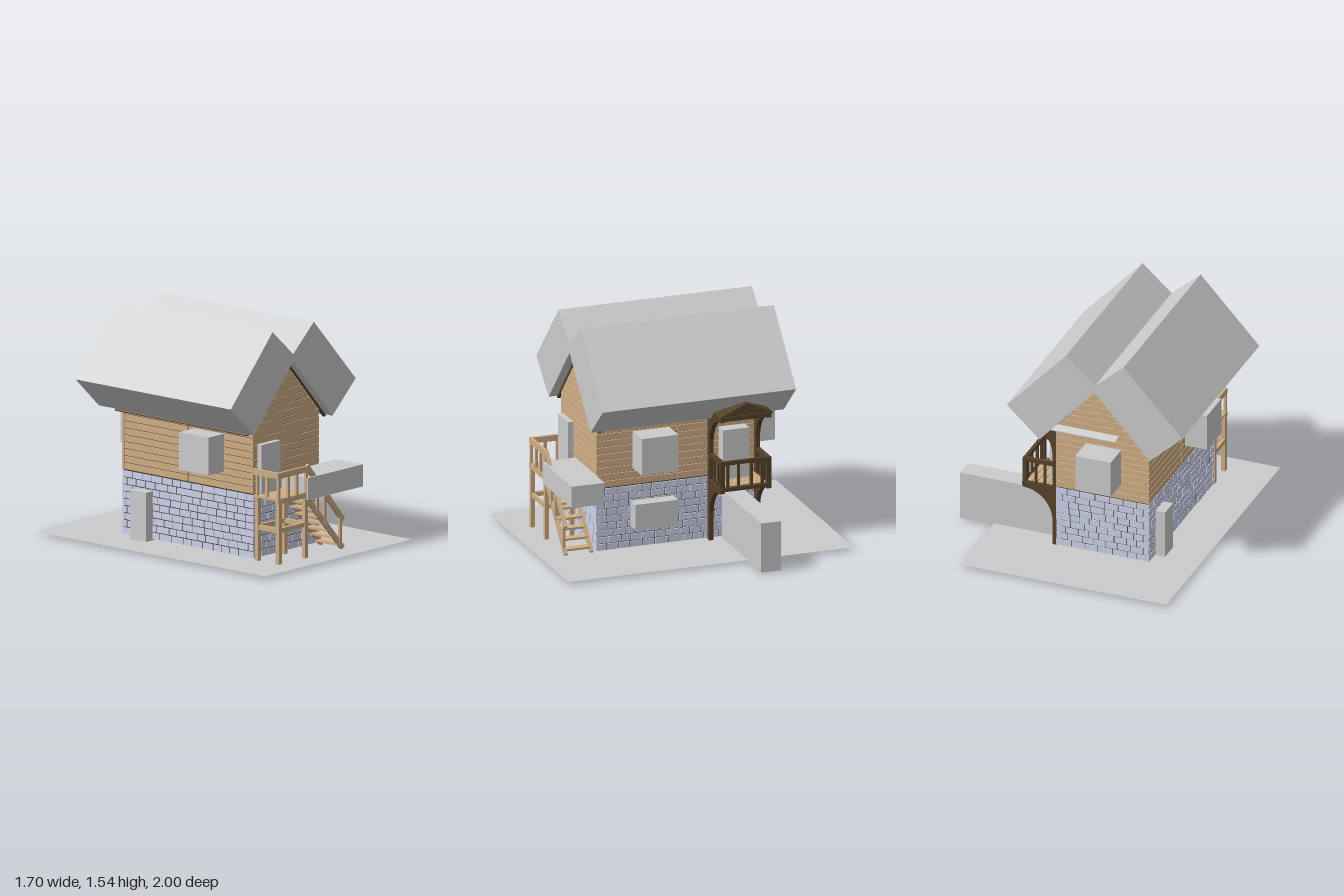
import * as THREE from 'three';
import { mergeGeometries } from 'three/addons/utils/BufferGeometryUtils.js';

const mat = (color) => new THREE.MeshStandardMaterial({ color, flatShading: true });
const grey = mat(0xcccccc), plank = mat(0xcfae86), stone = mat(0xcdd2ea);
const darkWood = mat(0x55422a), gapDark = mat(0x4a4238);

// House limits
const X0 = -0.535, X1 = 0.12, Z0 = -0.525, Z1 = 0.62, MID = -0.21;
const STONE_TOP = 0.46, APEX = 1.3, SLOPE = 0.885;
const halfWidth = (y) => Math.max(0.004, Math.min((X1 - X0) / 2, (APEX - y) * SLOPE));

let seed = 7;
const rand = () => (seed = (seed * 16807) % 2147483647) / 2147483647;

// Box geometry from its limits
function block(x0, x1, y0, y1, z0, z1) {
  return new THREE.BoxGeometry(x1 - x0, y1 - y0, z1 - z0)
    .translate((x0 + x1) / 2, (y0 + y1) / 2, (z0 + z1) / 2);
}

// Sloping beam between two points in the x-y plane
function beam(ax, ay, bx, by, thick, z0, z1) {
  return new THREE.BoxGeometry(Math.hypot(bx - ax, by - ay), thick, z1 - z0)
    .rotateZ(Math.atan2(by - ay, bx - ax))
    .translate((ax + bx) / 2, (ay + by) / 2, (z0 + z1) / 2);
}

// Outline in x-y pushed out from z0 to z1
function slab(points, z0, z1) {
  const shape = new THREE.Shape(points.map(([x, y]) => new THREE.Vector2(x, y)));
  return new THREE.ExtrudeGeometry(shape, { depth: z1 - z0, bevelEnabled: false }).translate(0, 0, z0);
}

// Outline in z-y pushed out from x0 to x1
const slabX = (points, x0, x1) => slab(points, -x1, -x0).rotateY(-Math.PI / 2);

function add(group, name, material, geometries) {
  const list = geometries.map((g) => (g.index ? g.toNonIndexed() : g));
  const mesh = new THREE.Mesh(mergeGeometries(list), material);
  mesh.name = name;
  group.add(mesh);
}

// Rows of staggered stones round the ground floor
function stoneWalls() {
  const parts = [], rows = 9, h = (STONE_TOP - 0.03) / rows, t = 0.03, gap = 0.006;
  const run = (from, to, make) => {
    for (let r = 0; r < rows; r++) {
      const y0 = 0.03 + r * h;
      let a = from, w = r % 2 ? 0.045 : 0.09;
      while (a < to - 0.001) {
        let b = Math.min(to, a + w);
        if (to - b < 0.03) b = to;
        parts.push(make(a, b - (b < to ? gap : 0), y0, y0 + h - gap, rand() * 0.004));
        a = b;
        w = 0.065 + rand() * 0.045;
      }
    }
  };
  run(X0, X1, (a, b, y0, y1, d) => block(a, b, y0, y1, Z1 - t, Z1 - d));
  run(X0, X1, (a, b, y0, y1, d) => block(a, b, y0, y1, Z0 + d, Z0 + t));
  run(Z0, Z1, (a, b, y0, y1, d) => block(X1 - t, X1 - d, y0, y1, a, b));
  run(Z0, Z1, (a, b, y0, y1, d) => block(X0 + d, X0 + t, y0, y1, a, b));
  return parts;
}

// Horizontal boards on the upper floor and both gables
function boardWalls() {
  const parts = [], h = 0.0467, gap = 0.005, seam = 0.05;
  for (let y = STONE_TOP + 0.004; y < APEX - 0.01; y += h) {
    const top = Math.min(y + h - gap, APEX - 0.003);
    const a = halfWidth(y), b = halfWidth(top);
    const outline = [[MID - a, y], [MID + a, y], [MID + b, top], [MID - b, top]];
    parts.push(slab(outline, Z1 - 0.02, Z1), slab(outline, Z0, Z0 + 0.02));
    if (top < 0.93) {
      for (const x of [X0, X1 - 0.02]) {
        parts.push(block(x, x + 0.02, y, top, Z0, seam - 0.003));
        parts.push(block(x, x + 0.02, y, top, seam + 0.003, Z1));
      }
    }
  }
  return parts;
}

// Curved bracket filling the corner between a post and the beam above it
function bracket(y0, y1, z0, z1) {
  const points = [[0.145, y1 + 0.01], [0.145, y0]];
  for (let i = 0; i <= 12; i++) {
    const a = (i / 12) * Math.PI / 2;
    points.push([0.36 - 0.21 * Math.cos(a), y0 + (y1 - y0 - 0.012) * Math.sin(a)]);
  }
  points.push([0.36, y1 + 0.01]);
  return slab(points, z0, z1);
}

function buildBalcony() {
  const g = new THREE.Group();
  g.name = 'balcony';
  const frame = [], rails = [], floor = [];
  for (const [z0, z1] of [[-0.19, -0.16], [-0.515, -0.485]]) {
    frame.push(block(X1, 0.15, 0, 0.93, z0, z1));
    frame.push(bracket(0.2, 0.42, z0, z1), bracket(0.69, 0.91, z0, z1));
    frame.push(block(X1, 0.365, 0.905, 0.935, z0, z1), block(X1, 0.365, 0.42, 0.445, z0, z1));
    rails.push(block(X1, 0.36, 0.6, 0.625, z0, z1), block(0.335, 0.36, 0.42, 0.61, z0, z1));
    for (const x of [0.2, 0.265]) rails.push(block(x, x + 0.015, 0.43, 0.61, z0 + 0.008, z1 - 0.008));
  }
  frame.push(block(0.34, 0.365, 0.905, 0.935, -0.515, -0.16));
  frame.push(block(0.34, 0.365, 0.42, 0.445, -0.515, -0.16));
  rails.push(block(0.335, 0.36, 0.6, 0.625, -0.515, -0.16));
  for (const z of [-0.215, -0.29, -0.38, -0.455]) rails.push(block(0.34, 0.355, 0.44, 0.61, z - 0.009, z + 0.009));
  for (let i = 0; i < 6; i++) floor.push(block(X1 + i * 0.037, X1 + i * 0.037 + 0.033, 0.435, 0.45, -0.487, -0.188));
  add(g, 'balconyFrame', darkWood, frame);
  add(g, 'balconyRailing', darkWood, rails);
  add(g, 'balconyFloor', plank, floor);
  // Little gabled canopy
  const mid = -0.3375;
  const canopy = [slabX([[mid - 0.165, 0.935], [mid + 0.165, 0.935], [mid, 1.005]], 0.335, 0.355)];
  for (const s of [-1, 1]) {
    for (let i = 0; i < 4; i++) {
      const d0 = i * 0.047, d1 = d0 + 0.044, y = (d) => 1.02 - d * 0.44;
      const p = [[mid + s * d0, y(d0) - 0.014], [mid + s * d1, y(d1) - 0.014], [mid + s * d1, y(d1)], [mid + s * d0, y(d0)]];
      canopy.push(slabX(s > 0 ? p : p.reverse(), X1, 0.37));
    }
  }
  add(g, 'canopyRoof', darkWood, canopy);
  // Grey sheets carrying the canopy slope back into the roof
  add(g, 'canopySheets', grey, [-1, 1].map((s) =>
    slabX([[mid, 0.99], [mid + s * 0.235, 0.903], [mid + s * 0.235, 0.909], [mid, 0.996]], -0.32, 0.14)));
  return g;
}

function buildStairs() {
  const g = new THREE.Group();
  g.name = 'frontStairs';
  const posts = [], deck = [], rails = [], stairs = [];
  for (const z of [0.635, 0.815]) {
    for (const x of [-0.535, -0.275]) posts.push(block(x, x + 0.03, 0.01, 0.44, z, z + 0.028));
    posts.push(block(-0.51, -0.27, 0.23, 0.26, z + 0.004, z + 0.024));
    posts.push(block(-0.54, -0.25, 0.425, 0.447, z, z + 0.028));
    // Stringers
    stairs.push(beam(-0.26, 0.435, 0.11, 0.025, 0.035, z + 0.004, z + 0.024));
  }
  for (const x of [-0.533, -0.27]) posts.push(block(x, x + 0.024, 0.23, 0.26, 0.64, 0.84));
  for (let i = 0; i < 6; i++) deck.push(block(-0.54 + i * 0.0475, -0.497 + i * 0.0475, 0.445, 0.46, 0.62, 0.843));
  // Deck railing on the front and outer side
  rails.push(block(-0.54, -0.245, 0.595, 0.635, 0.822, 0.842), block(-0.54, -0.52, 0.595, 0.635, 0.62, 0.842));
  for (const x of [-0.538, -0.441, -0.359, -0.265]) rails.push(block(x, x + 0.02, 0.44, 0.6, 0.824, 0.842));
  for (const z of [0.64, 0.725]) rails.push(block(-0.538, -0.52, 0.45, 0.6, z, z + 0.02));
  // Stair handrail
  rails.push(beam(-0.25, 0.635, 0.11, 0.215, 0.035, 0.822, 0.842));
  for (const x of [-0.145, -0.07, 0.082]) {
    const y = 0.42 - (x + 0.25) * 1.11;
    rails.push(block(x - 0.01, x + 0.01, y - 0.01, y + 0.2, 0.824, 0.842));
  }
  // Treads
  for (let i = 0; i < 7; i++) {
    const x = -0.225 + i * 0.05, y = 0.375 - i * 0.0545;
    stairs.push(block(x - 0.025, x + 0.03, y, y + 0.014, 0.645, 0.835));
  }
  add(g, 'deckPosts', plank, posts);
  add(g, 'deckBoards', plank, deck);
  add(g, 'deckRailing', plank, rails);
  add(g, 'stairFlight', plank, stairs);
  return g;
}

export function createModel() {
  const model = new THREE.Group();
  model.name = 'house';

  // Ground sheet
  const ground = new THREE.Mesh(new THREE.PlaneGeometry(1.46, 2).rotateX(-Math.PI / 2),
    new THREE.MeshStandardMaterial({ color: 0xcccccc, side: THREE.DoubleSide }));
  ground.name = 'ground';
  ground.position.set(-0.12, 0.02, 0);
  model.add(ground);

  // Walls over a dark core that shows in the joints
  const e = 0.008, hw = (X1 - X0) / 2 - e;
  add(model, 'wallCore', gapDark, [slab([[MID - hw, 0.03], [MID + hw, 0.03], [MID + hw, 0.915],
    [MID, APEX - 0.015], [MID - hw, 0.915]], Z0 + e, Z1 - e)]);
  add(model, 'stoneWalls', stone, stoneWalls());
  add(model, 'boardWalls', plank, boardWalls());

  // Thick roof slabs, rafters and the thin eave sheet
  const roof = [], rafters = [];
  for (const s of [-1, 1]) {
    let p = [[0.205, 1.54], [-0.025, 1.335], [0.39, 0.877], [0.62, 1.09]].map(([x, y]) => [MID + s * x, y]);
    roof.push(slab(p, -0.67, 0.683));
    for (const z of [Z0 - 0.005, Z1 - 0.015])
      rafters.push(beam(MID, 1.298, MID + s * 0.385, 0.868, 0.014, z, z + 0.02));
  }
  rafters.push(beam(MID, 1.3, MID - 0.392, 0.865, 0.01, Z0, Z1));
  add(model, 'roofSlabs', grey, roof);
  add(model, 'rafters', darkWood, rafters);

  // Plain blocks standing in the openings and beside the stairs
  const blocks = {
    sideDoorBlock: [-0.6, 0.85, 0.01, 0.35, -0.4, -0.26],
    sideWindowBlock: [-0.69, 0.29, 0.577, 0.83, 0.11, 0.365],
    backWindowBlock: [-0.34, -0.09, 0.577, 0.83, -0.71, -0.4],
    basementWindowBlock: [0, 0.21, 0.177, 0.35, 0.08, 0.38],
    balconyDoorBlock: [0, 0.204, 0.45, 0.79, -0.42, -0.235],
    frontDoorBlock: [-0.495, -0.307, 0.45, 0.79, 0.5, 0.657],
    stairBlock: [-0.26, 0.287, 0.41, 0.558, 0.625, 0.855],
  };
  for (const [name, limits] of Object.entries(blocks)) add(model, name, grey, [block(...limits)]);

  model.add(buildBalcony(), buildStairs());
  return model;
}
